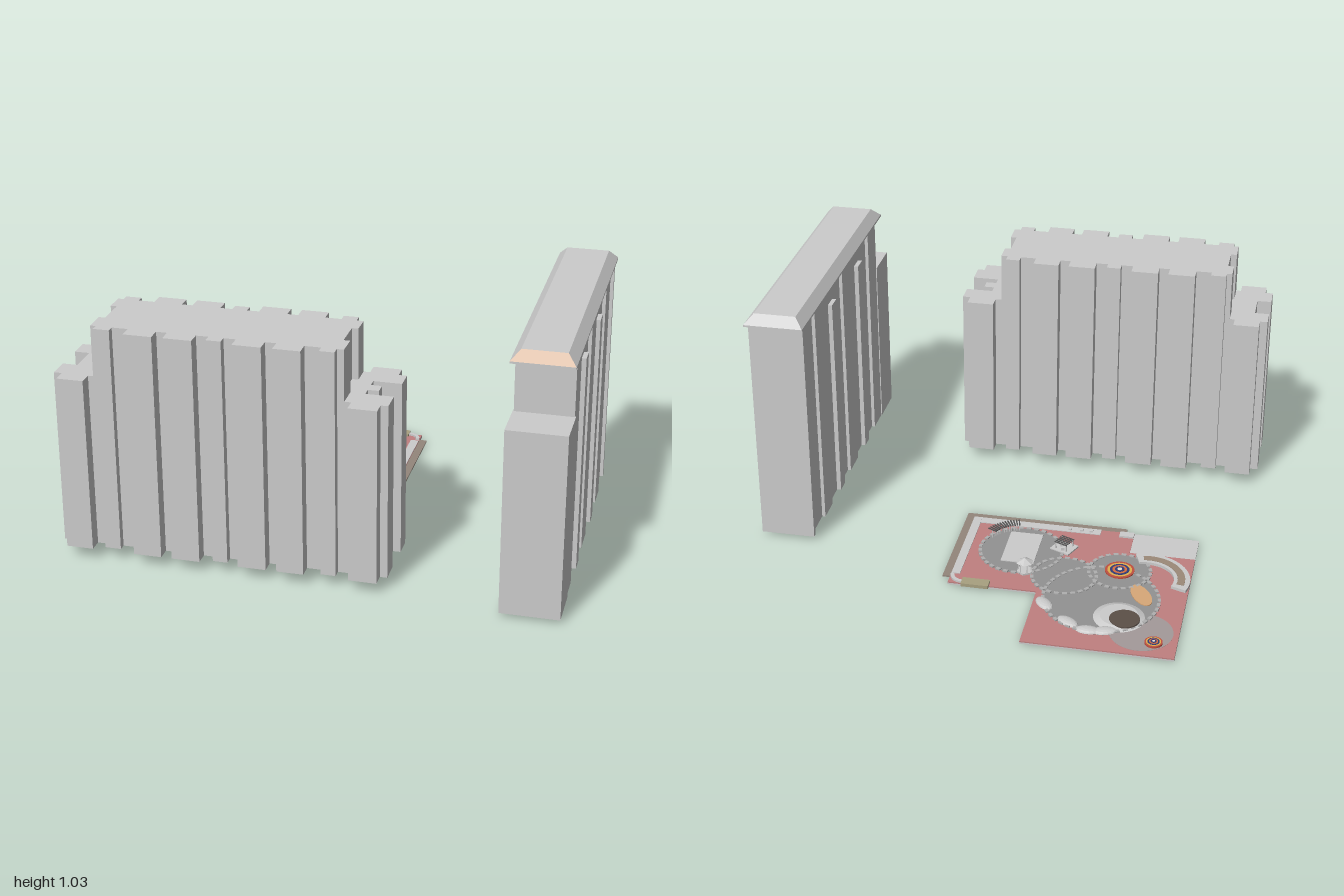
import * as THREE from 'three';

const GREY = 0xcccccc, DARK = 0x929292, PINK = 0xc08080, BROWN = 0x93867c;
const mats = {};
const mat = (c) => (mats[c] ??= new THREE.MeshStandardMaterial({ color: c, flatShading: true }));

function add(parent, name, geo, color = GREY, x = 0, y = 0, z = 0) {
  const m = new THREE.Mesh(geo, Array.isArray(color) ? color.map(mat) : mat(color));
  m.name = name;
  m.position.set(x, y, z);
  parent.add(m);
  return m;
}

// Box given by its limits
const block = (p, name, x0, x1, y0, y1, z0, z1, color) =>
  add(p, name, new THREE.BoxGeometry(x1 - x0, y1 - y0, z1 - z0), color, (x0 + x1) / 2, (y0 + y1) / 2, (z0 + z1) / 2);

// Upright extrusion of a ground plan
function rise(p, name, shape, y0, y1, color) {
  const g = new THREE.ExtrudeGeometry(shape, { depth: y1 - y0, bevelEnabled: false, curveSegments: 32 });
  return add(p, name, g.rotateX(-Math.PI / 2), color, 0, y0, 0);
}
const plan = (pts) => new THREE.Shape(pts.map(([x, z]) => new THREE.Vector2(x, -z)));

const disc = (p, name, x, z, r, y0, y1, color, sides = 40) =>
  add(p, name, new THREE.CylinderGeometry(r, r, y1 - y0, sides), color, x, (y0 + y1) / 2, z);

// Arc-shaped band; angles in degrees from +x towards +z
function band(x, z, r0, r1, a0, a1) {
  const s = new THREE.Shape(), a = -a0 * Math.PI / 180, b = -a1 * Math.PI / 180;
  s.absarc(x, -z, r1, a, b, true);
  s.absarc(x, -z, r0, b, a, false);
  return s;
}

// Plan with toothed long sides and given end profiles
function toothed(zb, zf, teeth, left, right) {
  const back = [], front = [];
  for (const [a, b, d] of teeth) {
    back.push([a, zb], [a, zb - d], [b, zb - d], [b, zb]);
    front.push([a, zf], [a, zf + d], [b, zf + d], [b, zf]);
  }
  return plan([...back, ...right, ...front.reverse(), ...left]);
}

function wideBuilding() {
  const g = new THREE.Group();
  g.name = 'wideApartmentBlock';
  const zb = 0.515, zf = 0.81, n0 = 0.596, n1 = 0.72;
  const end = (x, xin) => [[x, zb], [x, n0], [xin, n0], [xin, n1], [x, n1], [x, zf]];
  const core = [[-0.818, -0.754, 0.03], [-0.69, -0.578, 0.055], [-0.535, -0.422, 0.055], [-0.374, -0.315, 0.035],
    [-0.267, -0.155, 0.055], [-0.112, -0.005, 0.055], [0.059, 0.118, 0.035]];
  rise(g, 'tallCore', toothed(zb, zf, core, end(-0.84, -0.815).reverse(), end(0.145, 0.12)), 0.05, 0.972);
  rise(g, 'leftEndWing', toothed(zb, zf, [[0.171, 0.283, 0.055]], [[0.1, zf], [0.1, zb]],
    [[0.315, zb], [0.315, n0], [0.203, n0], [0.203, 0.634], [0.246, 0.634], [0.246, 0.682], [0.203, 0.682],
      [0.203, n1], [0.312, n1], [0.312, zf]]), 0.05, 0.765);
  rise(g, 'rightEndWing', toothed(zb, zf, [[-0.968, -0.861, 0.055]], end(-1, -0.94).reverse(),
    [[-0.8, zb], [-0.8, zf]]), 0.05, 0.765);
  return g;
}

function longBuilding() {
  const g = new THREE.Group();
  g.name = 'longApartmentBlock';
  const y0 = 0.018;
  // Side walls step in and out along the length
  const strips = [[-0.355, -0.335], [-0.19, -0.08], [0.21, 0.33], [0.62, 0.74]];
  const side = (xin, xout) => strips.flatMap(([a, b]) => [[xin, a], [xout, a], [xout, b], [xin, b]]);
  rise(g, 'tallWalls', plan([...side(0.974, 0.988), ...side(0.778, 0.764).reverse()]), y0, 0.985);
  block(g, 'lowFrontWing', 0.76, 0.992, y0, 0.765, 0.735, 0.912);
  for (const z of [0.07, 0.473])
    for (const x of [0.769, 0.983]) block(g, 'pilaster', x - 0.009, x + 0.009, y0, 0.9, z - 0.032, z + 0.032);
  // Hipped flat roof with a coloured front slope
  block(g, 'roofEave', 0.755, 0.995, 0.982, 0.99, -0.39, 0.815);
  const roof = new THREE.BoxGeometry(0.24, 0.038, 1.205), p = roof.attributes.position;
  for (let i = 0; i < p.count; i++)
    if (p.getY(i) > 0) p.setXYZ(i, p.getX(i) * 0.71, p.getY(i), p.getZ(i) * 0.94);
  roof.computeVertexNormals();
  add(g, 'roof', roof, [GREY, GREY, GREY, GREY, 0xd8b8a0, GREY], 0.875, 1.009, 0.2125);
  return g;
}

// Ring of small kerb stones round a paved circle
function kerb(g, x, z, r) {
  const n = Math.round(r * 190);
  for (let i = 0; i < n; i++) {
    const a = (i / n) * Math.PI * 2;
    const s = add(g, 'kerbStone', new THREE.BoxGeometry(0.014, 0.006, 0.02), 0xb0b0b0,
      x + r * Math.cos(a), 0.015, z + r * Math.sin(a));
    s.rotation.y = -a;
  }
}

function target(g, x, z, r) {
  [0xc05040, 0xe0b050, 0x303a78, 0xd87040, 0x303a78, 0xe8e0d0].forEach((c, i) =>
    disc(g, 'targetRing', x, z, r * (1 - i / 6), 0.012, 0.02 + i * 0.0008, c, 32));
}

function playground() {
  const g = new THREE.Group();
  g.name = 'playground';
  // Ground slab and rubber surface
  const ground = plan([[-0.81, -0.912], [-0.215, -0.912], [-0.215, -0.565], [0.146, -0.565], [0.146, -0.06],
    [-0.54, -0.06], [-0.54, -0.21], [-0.81, -0.21]]);
  rise(g, 'groundSlab', ground, 0, 0.007, GREY);
  rise(g, 'rubberSurface', ground, 0.007, 0.012, PINK);
  block(g, 'pavedCorner', -0.81, -0.54, 0.002, 0.01, -0.21, -0.06);
  // Edging paths and border
  block(g, 'frontPath', -0.4, 0.14, 0.01, 0.015, -0.1, -0.06);
  block(g, 'sidePath', 0.11, 0.145, 0.01, 0.0152, -0.5, -0.06);
  block(g, 'frontBorder', -0.505, 0.178, 0.004, 0.01, -0.06, -0.028, BROWN);
  block(g, 'sideBorder', 0.145, 0.178, 0.004, 0.01, -0.52, -0.06, BROWN);
  for (const x of [-0.36, -0.32, -0.27]) block(g, 'bollard', x - 0.007, x + 0.007, 0.01, 0.022, -0.09, -0.076);
  block(g, 'planter', -0.54, -0.48, 0.008, 0.02, -0.1, -0.065);

  // Paved circles
  rise(g, 'smallCircleEdge', band(-0.663, -0.762, 0, 0.125, 0, 359.9), 0.01, 0.0128, 0xa49a9a);
  const circles = [[-0.476, -0.57, 0.23], [-0.1, -0.28, 0.17], [-0.52, -0.36, 0.125], [-0.305, -0.436, 0.13]];
  circles.forEach(([x, z, r], i) => {
    disc(g, 'pavedCircle', x, z, r, 0.004, 0.0135 + i * 0.0006, DARK);
    kerb(g, x, z, r);
  });
  target(g, -0.72, -0.826, 0.035);
  target(g, -0.52, -0.355, 0.06);

  // Play mound, boulders and sand patch
  add(g, 'moundSlope', new THREE.CylinderGeometry(0.075, 0.105, 0.012, 36), GREY, -0.565, 0.018, -0.68);
  disc(g, 'moundTop', -0.59, -0.703, 0.06, 0.02, 0.026, 0x5c5048);
  for (const [x, z, t] of [[-0.524, -0.783, 0.3], [-0.374, -0.75, -0.6], [-0.262, -0.644, -0.9], [-0.46, -0.79, 0]]) {
    const b = add(g, 'boulder', new THREE.SphereGeometry(1, 14, 8), 0xc4c4c4, x, 0.013, z);
    b.scale.set(0.05, 0.012, 0.028);
    b.rotation.y = t;
  }
  const sand = disc(g, 'sandPatch', -0.63, -0.516, 1, 0, 1, 0xd8a878);
  sand.scale.set(0.036, 0.006, 0.076);
  sand.position.y = 0.015;
  sand.rotation.y = 0.5;

  // Curved bench with a planted middle
  rise(g, 'curvedBench', band(-0.63, -0.4, 0.115, 0.18, 70, 200), 0.01, 0.024);
  rise(g, 'benchPlanting', band(-0.63, -0.4, 0.13, 0.16, 80, 190), 0.02, 0.026, 0x9c8a78);

  // Sports court and storage hut
  block(g, 'court', -0.168, -0.032, 0.01, 0.0175, -0.376, -0.15);
  block(g, 'hut', -0.022, 0.09, 0.008, 0.022, -0.582, -0.535, 0xa8a080);
  rise(g, 'gateArc', band(0.09, -0.51, 0.04, 0.055, -90, 0), 0.01, 0.02);

  // Hexagonal gazebo
  const gx = -0.143, gz = -0.43;
  for (let i = 0; i < 6; i++) {
    const a = i * Math.PI / 3;
    disc(g, 'gazeboPost', gx + 0.026 * Math.cos(a), gz + 0.026 * Math.sin(a), 0.0025, 0.012, 0.06, GREY, 6);
  }
  add(g, 'gazeboRoof', new THREE.ConeGeometry(0.036, 0.018, 6), GREY, gx, 0.066, gz);
  disc(g, 'gazeboFloor', gx, gz, 0.034, 0.012, 0.02, GREY, 6);

  // Square slatted pergola
  const sq = new THREE.Group();
  sq.name = 'squarePergola';
  sq.position.set(-0.27, 0, -0.228);
  sq.rotation.y = -0.4;
  block(sq, 'floor', -0.045, 0.045, 0.012, 0.018, -0.04, 0.04);
  for (let i = 0; i < 6; i++) block(sq, 'slat', -0.03, 0.03, 0.047, 0.05, -0.03 + i * 0.011, -0.025 + i * 0.011, 0x555555);
  for (const x of [-0.025, 0.025]) for (const z of [-0.025, 0.025]) disc(sq, 'post', x, z, 0.003, 0.012, 0.048, GREY, 6);
  g.add(sq);

  // Curved pergola along the rim of the sports circle
  for (let i = 0; i < 13; i++) {
    const a = (28 + i * 4) * Math.PI / 180, x = -0.1 + 0.155 * Math.cos(a), z = -0.28 + 0.155 * Math.sin(a);
    const s = add(g, 'curvedPergolaSlat', new THREE.BoxGeometry(0.042, 0.004, 0.005), 0x555555, x, 0.052, z);
    s.rotation.y = -a;
    disc(g, 'curvedPergolaPost', x, z, 0.002, 0.012, 0.05, GREY, 6);
  }
  return g;
}

export function createModel() {
  const model = new THREE.Group();
  model.name = 'housingCourtyard';
  model.add(wideBuilding(), longBuilding(), playground());
  return model;
}
